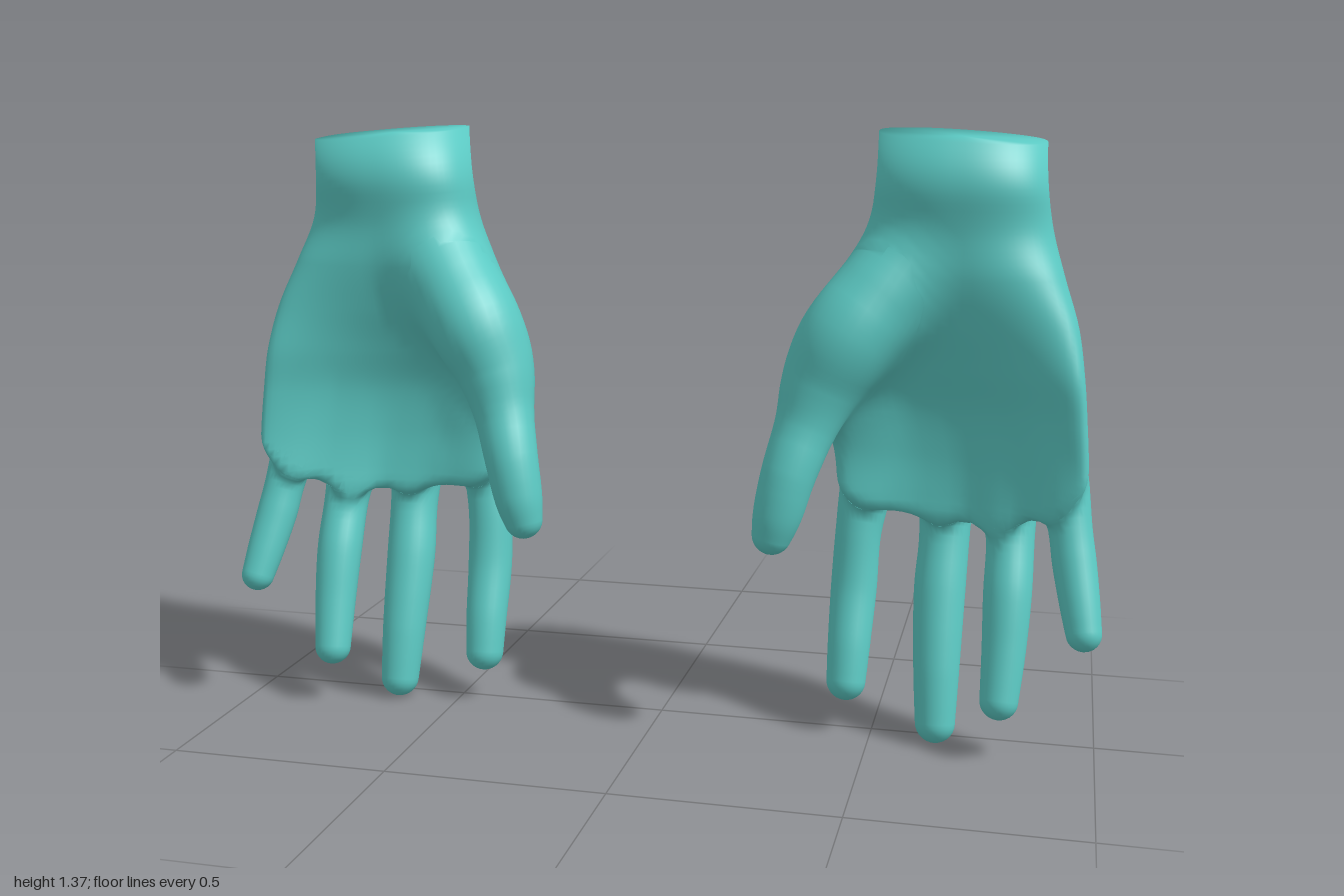
import * as THREE from 'three';

const { clamp, smoothstep } = THREE.MathUtils;
const skin = new THREE.MeshStandardMaterial({ color: 0x5ccac4 });

// Palm sections every 0.1 down from the wrist: [inner x, outer x, mid z, half depth, edge bend, tilt]
const TOP = 1.355, STEP = 0.1, BOTTOM = 0.48;
const PALM = [
  [0.48, 0.84, -0.04, 0.145, 0, 0], [0.475, 0.845, -0.045, 0.14, 0, 0],
  [0.46, 0.86, -0.055, 0.137, 0, 0], [0.425, 0.89, -0.062, 0.14, 0.03, 0.02],
  [0.38, 0.923, -0.073, 0.131, 0.07, 0.035], [0.345, 0.94, -0.088, 0.114, 0.11, 0.05],
  [0.36, 0.95, -0.098, 0.098, 0.125, 0.06], [0.395, 0.957, -0.092, 0.09, 0.12, 0.07],
  [0.41, 0.955, -0.075, 0.08, 0.12, 0.07], [0.42, 0.94, -0.05, 0.065, 0.11, 0.07],
];

// Digits from inside the palm to the tip: [x, y, z, radius]; blend is the fillet into the palm
const DIGITS = [
  { name: 'thumb', blend: 0.1, stations: [
    [0.6, 1.12, -0.05, 0.04], [0.505, 1.02, 0.027, 0.084], [0.433, 0.925, 0.064, 0.101],
    [0.38, 0.82, 0.078, 0.085], [0.35, 0.73, 0.1, 0.069], [0.32, 0.63, 0.138, 0.061],
    [0.3, 0.545, 0.153, 0.055], [0.287, 0.492, 0.158, 0.044]] },
  { name: 'indexFinger', blend: 0.06, stations: [
    [0.51, 0.88, -0.1, 0.04], [0.49, 0.74, -0.1, 0.06], [0.468, 0.59, -0.109, 0.063],
    [0.45, 0.45, -0.078, 0.053], [0.445, 0.32, -0.055, 0.053], [0.442, 0.2, -0.012, 0.049],
    [0.44, 0.117, 0.012, 0.045]] },
  { name: 'middleFinger', blend: 0.06, stations: [
    [0.64, 0.88, -0.1, 0.04], [0.637, 0.74, -0.115, 0.06], [0.645, 0.59, -0.115, 0.064],
    [0.647, 0.45, -0.075, 0.057], [0.643, 0.33, -0.035, 0.058], [0.645, 0.17, 0.015, 0.052],
    [0.648, 0.045, 0.045, 0.045]] },
  { name: 'ringFinger', blend: 0.06, stations: [
    [0.76, 0.88, -0.06, 0.04], [0.775, 0.74, -0.08, 0.06], [0.79, 0.6, -0.06, 0.062],
    [0.797, 0.47, -0.01, 0.053], [0.797, 0.36, 0.04, 0.053], [0.795, 0.24, 0.08, 0.048],
    [0.79, 0.135, 0.115, 0.042]] },
  { name: 'littleFinger', blend: 0.05, stations: [
    [0.84, 0.88, -0.005, 0.035], [0.872, 0.75, -0.005, 0.052], [0.902, 0.64, 0.02, 0.054],
    [0.925, 0.52, 0.06, 0.047], [0.937, 0.45, 0.085, 0.047], [0.952, 0.37, 0.12, 0.043],
    [0.963, 0.312, 0.146, 0.038]] },
];

// Smooth interpolation between table rows at a fractional row number
function sample(rows, s) {
  const last = rows.length - 1;
  const at = clamp(s, 0, last), k = Math.min(Math.floor(at), last - 1), t = at - k;
  const [p, q, r, w] = [k - 1, k, k + 1, k + 2].map(i => rows[clamp(i, 0, last)]);
  return q.map((b, i) => {
    const a = p[i], c = r[i], d = w[i];
    return b + 0.5 * t * (c - a + t * (2 * a - 5 * b + 4 * c - d + t * (3 * (b - c) + d - a)));
  });
}

function smoothMin(a, b, k) {
  const h = Math.max(k - Math.abs(a - b), 0) / k;
  return Math.min(a, b) - h * h * k / 4;
}

// Finger line: rises towards the little finger and the back of the hand
const fingerLine = (u, v) => 0.55 + 0.06 * Math.max(0, u) ** 2 - 0.06 * clamp(v, -1, 1);
const arch = (u, bend, tilt) => bend * u * u + tilt * u;

// Approximate distance to the arched palm, slightly squarer than an ellipse
function palmDistance(p) {
  const [x0, x1, z, depth, bend, tilt] = sample(PALM, (TOP - p.y) / STEP);
  const width = (x1 - x0) / 2;
  const u = (p.x - (x0 + x1) / 2) / width;
  const v = (p.z - z - arch(clamp(u, -1.1, 1.1), bend, tilt)) / depth;
  const rho = (Math.abs(u) ** 2.3 + Math.abs(v) ** 2.3) ** (1 / 2.3) + 1e-6;
  const wall = (rho - 1) * rho / (Math.hypot(u / width, v / depth) + 1e-6 / depth);
  const floor = fingerLine(clamp(u, -1, 1), v) - p.y;
  return -smoothMin(-wall, -floor, 0.05);
}

// Distance to a chain of tapering segments
function chainDistance(p, chain) {
  let best = Infinity;
  for (let i = 0; i < chain.length - 1; i++) {
    const a = chain[i], b = chain[i + 1];
    const dx = b[0] - a[0], dy = b[1] - a[1], dz = b[2] - a[2];
    const px = p.x - a[0], py = p.y - a[1], pz = p.z - a[2];
    const t = clamp((px * dx + py * dy + pz * dz) / (dx * dx + dy * dy + dz * dz), 0, 1);
    const ex = px - t * dx, ey = py - t * dy, ez = pz - t * dz;
    best = Math.min(best, Math.sqrt(ex * ex + ey * ey + ez * ez) - a[3] - t * (b[3] - a[3]));
  }
  return best;
}

const CHAINS = DIGITS.map(({ stations }) =>
  Array.from({ length: (stations.length - 1) * 8 + 1 }, (_, i) => sample(stations, i / 8)));

const handDistance = p => DIGITS.reduce(
  (d, { blend }, i) => smoothMin(d, chainDistance(p, CHAINS[i]), blend), palmDistance(p));

function gradient(p) {
  const slope = (x, y, z) => (handDistance({ x: p.x + x, y: p.y + y, z: p.z + z })
    - handDistance({ x: p.x - x, y: p.y - y, z: p.z - z })) / 0.012;
  return new THREE.Vector3(slope(0.006, 0, 0), slope(0, 0.006, 0), slope(0, 0, 0.006));
}

// Pull a point near the skin onto the blended surface; buried points stay put
function settle(p) {
  for (let i = 0; i < 5; i++) {
    const d = handDistance(p);
    if (d < -0.03 || Math.abs(d) < 1e-4) break;
    const g = gradient(p);
    p.addScaledVector(g, -d / Math.max(g.lengthSq(), 0.2));
  }
  return p;
}

const turn = (count, place) => Array.from({ length: count }, (_, i) => {
  const t = (i / count) * Math.PI * 2;
  return place(Math.cos(t), Math.sin(t));
});

// Palm: wrist cap, arched sections with a sloping rim, then a closed finger line
function palmRings() {
  const ring = (y, scale) => turn(72, (c, s) => {
    const [x0, x1, z, depth, bend, tilt] = sample(PALM, (TOP - y) / STEP);
    const u = c * scale, v = s * scale;
    const rim = Math.max(0, (y - 1.15) / 0.205);
    return new THREE.Vector3(
      (x0 + x1) / 2 + u * (x1 - x0) / 2,
      Math.max(y - rim * (0.012 * u + 0.01 * v), fingerLine(u, v)),
      z + arch(u, bend, tilt) + depth * v);
  });
  const rings = [ring(TOP, 0)];
  for (let i = 0; i <= 52; i++) rings.push(ring(TOP + (BOTTOM - TOP) * i / 52, 1));
  for (const scale of [0.9, 0.75, 0.55, 0.3, 0]) rings.push(ring(BOTTOM, scale));
  return rings;
}

// Digit: round sections along its stations with a domed tip
function digitRings(stations) {
  const last = stations.length - 1, rings = [];
  const ring = (s, forward, scale) => {
    const [x, y, z, radius] = sample(stations, s);
    const [a, b] = [s - 0.02, s + 0.02].map(k => new THREE.Vector3(...sample(stations, k).slice(0, 3)));
    const dir = b.sub(a).normalize();
    const across = new THREE.Vector3(1, 0, 0).addScaledVector(dir, -dir.x).normalize();
    const out = new THREE.Vector3().crossVectors(dir, across);
    return turn(28, (c, n) => new THREE.Vector3(x, y, z).addScaledVector(dir, radius * forward)
      .addScaledVector(across, radius * scale * c).addScaledVector(out, radius * scale * n));
  };
  for (let i = 0; i <= last * 6; i++) rings.push(ring(i / 6, 0, 1));
  for (let k = 1; k <= 7; k++) {
    rings.push(ring(last, Math.sin(k * Math.PI / 14), Math.cos(k * Math.PI / 14)));
  }
  return rings;
}

// Settle the rings of a part on the skin; normals follow the blend and soften the wrist rim
function makePart(name, rings) {
  const points = rings.flat().map(settle);
  const lift = p => new THREE.Vector3(0, 0.8 * smoothstep(p.y, 1.2, 1.36), 0);
  const normals = points.map(p => gradient(p).add(lift(p)).normalize());
  return { name, points, normals, count: rings[0].length };
}

// Skin the rings of a part; side = -1 mirrors it in x
function makeMesh({ name, points, normals, count }, side) {
  const index = [];
  for (let a = 0; a < points.length - count; a++) {
    const b = a % count === count - 1 ? a - count + 1 : a + 1;
    const c = a + count, d = b + count;
    index.push(...(side > 0 ? [a, b, c, b, d, c] : [a, c, b, b, c, d]));
  }
  const attribute = list => new THREE.Float32BufferAttribute(
    list.flatMap(p => [p.x * side, p.y, p.z]), 3);
  const geometry = new THREE.BufferGeometry().setIndex(index);
  geometry.setAttribute('position', attribute(points));
  geometry.setAttribute('normal', attribute(normals));
  const mesh = new THREE.Mesh(geometry, skin);
  mesh.name = name;
  return mesh;
}

export function createModel() {
  const model = new THREE.Group();
  model.name = 'pairOfHands';
  const parts = [makePart('palm', palmRings()),
    ...DIGITS.map(({ name, stations }) => makePart(name, digitRings(stations)))];
  for (const [name, side] of [['leftHand', 1], ['rightHand', -1]]) {
    const hand = new THREE.Group();
    hand.name = name;
    hand.add(...parts.map(part => makeMesh(part, side)));
    model.add(hand);
  }
  return model;
}
